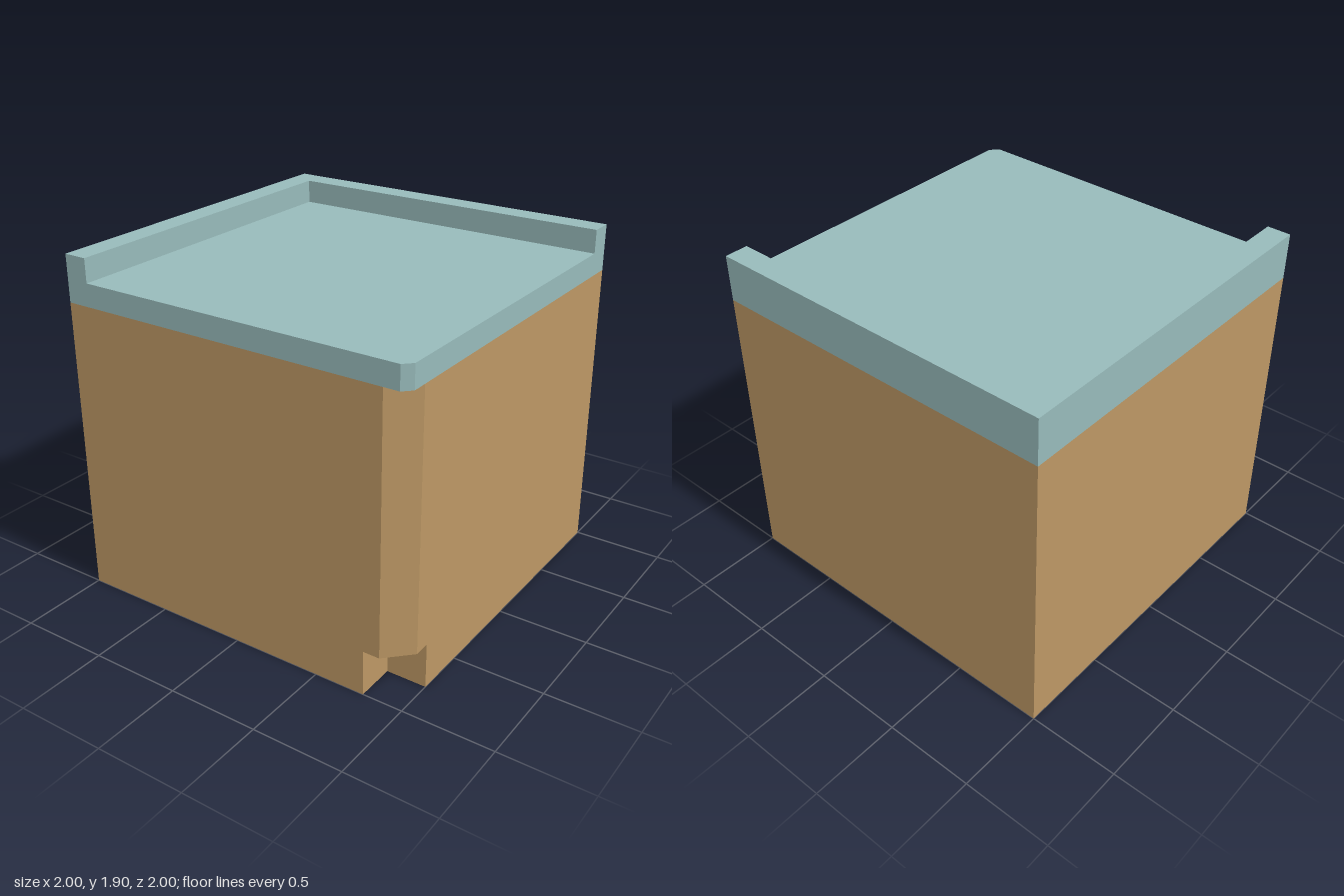
import * as THREE from 'three';

const earth = new THREE.MeshStandardMaterial({ name: 'earth tan', color: 0xbc9764 });
const stone = new THREE.MeshStandardMaterial({ name: 'pale teal', color: 0x97baba });

// Upright prism from an outline of [x, z] points
function prism(name, outline, y0, y1, material) {
  const shape = new THREE.Shape(outline.map(([x, z]) => new THREE.Vector2(x, -z)));
  const geometry = new THREE.ExtrudeGeometry(shape, { depth: y1 - y0, bevelEnabled: false });
  geometry.rotateX(-Math.PI / 2);
  geometry.translate(0, y0, 0);
  const mesh = new THREE.Mesh(geometry, material);
  mesh.name = name;
  return mesh;
}

// Square outline whose front +x corner is replaced by the given points
const square = (...corner) => [[-1, -1], [-1, 1], ...corner, [1, -1]];
const chamfered = (c) => square([c, 1], [1, c]);

export function createModel() {
  const model = new THREE.Group();
  model.name = 'cornerBlock';
  const notch = 0.78, rim = -0.87;

  model.add(
    // Base with a square notch in the corner
    prism('base', square([notch, 1], [notch, notch], [1, notch]), 0, 0.25, earth),
    // Main block with a wide corner chamfer
    prism('body', chamfered(0.87), 0.25, 1.65, earth),
    // Slab overhanging the chamfer
    prism('topSlab', chamfered(0.955), 1.65, 1.775, stone),
    // Raised L-shaped kerb along the back and -x edges
    prism('kerb', [[-1, -1], [-1, 1], [rim, 1], [rim, rim], [1, rim], [1, -1]], 1.775, 1.905, stone)
  );
  return model;
}
